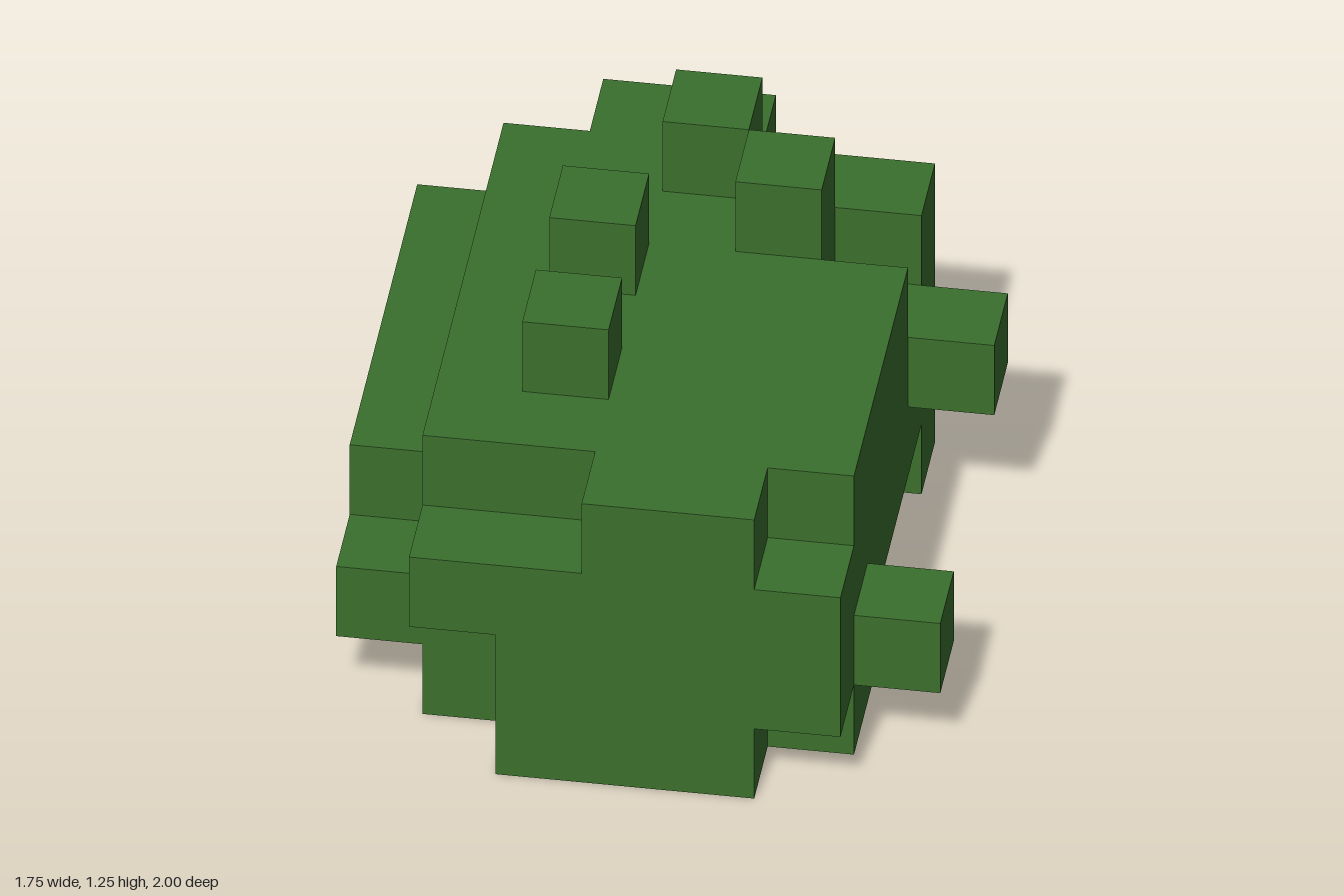
import * as THREE from 'three';
import { mergeGeometries } from 'three/addons/utils/BufferGeometryUtils.js';

const CELL = 0.25;

// Layers from the ground up; each row runs back to front, each character right (-x) to left (+x).
// '#' is foliage, 'T' is the trunk.
const LAYERS = [
  ['..##...', '.#####.', '#####..', '.#T##..', '.####..', '.#####.', '.#####.', '..###..'],
  ['.####..', '.#####.', '######.', '######.', '######.', '######.', '#######', '..####.'],
  ['.####..', '######.', '#######', '######.', '######.', '######.', '.#####.', '.#####.'],
  ['..##...', '.#####.', '.####..', '.#####.', '.#####.', '.#####.', '.#####.', '...##..'],
  ['.......', '...#...', '....#..', '..#....', '.......', '..#....', '.......', '.......'],
];

const cellAt = (i, j, k) => LAYERS[j]?.[k]?.[i] ?? '.';

// One square per outward direction, sitting on the side of a cell.
const SIDES = [[1, 0, 0], [-1, 0, 0], [0, 1, 0], [0, -1, 0], [0, 0, 1], [0, 0, -1]].map((d) => {
  const turn = new THREE.Quaternion().setFromUnitVectors(
    new THREE.Vector3(0, 0, 1), new THREE.Vector3(...d));
  if (d[2] === -1) turn.setFromAxisAngle(new THREE.Vector3(0, 1, 0), Math.PI);
  const square = new THREE.PlaneGeometry(CELL, CELL)
    .applyQuaternion(turn)
    .translate(...d.map((v) => v * CELL / 2));
  return { d, square };
});

// Merges the exposed sides of every cell of one kind.
function blockGeometry(kind) {
  const faces = [];
  LAYERS.forEach((layer, j) => layer.forEach((row, k) => [...row].forEach((c, i) => {
    if (c !== kind) return;
    for (const { d, square } of SIDES) {
      if (cellAt(i + d[0], j + d[1], k + d[2]) !== '.') continue;
      faces.push(square.clone().translate((i - 3) * CELL, (j + 0.5) * CELL, (k - 3.5) * CELL));
    }
  })));
  return mergeGeometries(faces);
}

export function createModel() {
  const leafGreen = new THREE.MeshStandardMaterial({ color: 0x3b702d });
  leafGreen.name = 'leafGreen';
  const barkBrown = new THREE.MeshStandardMaterial({ color: 0x6b4a35 });
  barkBrown.name = 'barkBrown';

  const bush = new THREE.Group();
  bush.name = 'bush';

  // Blocky leaf mass
  const foliage = new THREE.Mesh(blockGeometry('#'), leafGreen);
  foliage.name = 'foliage';

  // Trunk, showing only underneath
  const trunk = new THREE.Mesh(blockGeometry('T'), barkBrown);
  trunk.name = 'trunk';

  bush.add(foliage, trunk);
  return bush;
}
